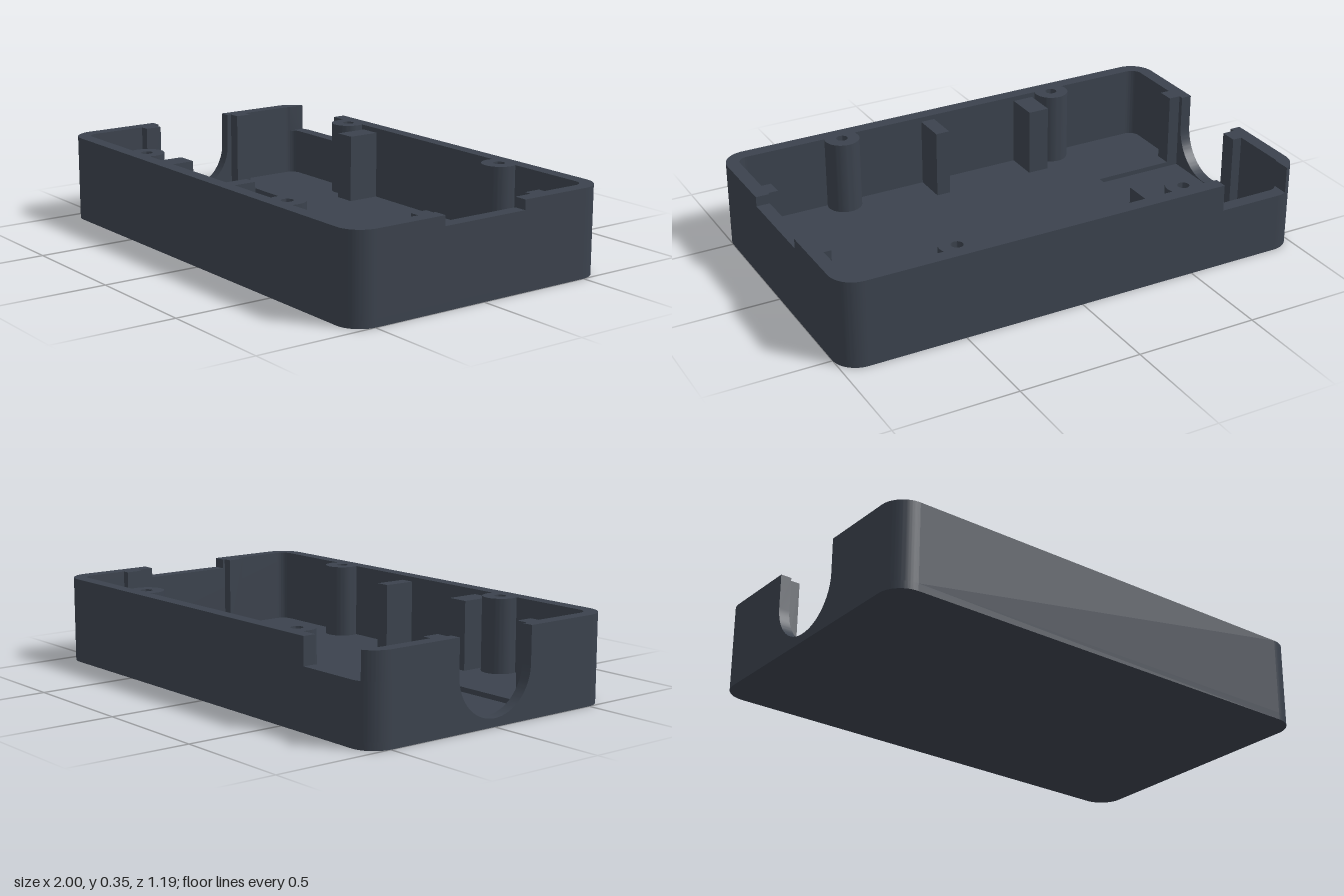
import * as THREE from 'three';
import { toCreasedNormals } from 'three/addons/utils/BufferGeometryUtils.js';

const W = 1, D = 0.595, H = 0.355;      // half width, half depth, height
const R = 0.1, T = 0.055;               // corner radius, wall thickness
const BASE = 0.03, FLOOR = 0.05;        // pocket level, floor level
const CX = W - R, CZ = D - R;           // corner centres
const IX = W - T, IZ = D - T;           // inner wall faces

export function createModel() {
  const group = new THREE.Group();
  const plastic = new THREE.MeshStandardMaterial({ color: 0x3b424d });
  plastic.name = 'slate plastic';

  const add = (name, geometry) => {
    const mesh = new THREE.Mesh(geometry, plastic);
    mesh.name = name;
    group.add(mesh);
    return mesh;
  };
  const box = (name, x0, x1, y0, y1, z0, z1) =>
    add(name, new THREE.BoxGeometry(x1 - x0, y1 - y0, z1 - z0)
      .translate((x0 + x1) / 2, (y0 + y1) / 2, (z0 + z1) / 2));
  // Plan shape (x, z) raised from y0 to y1
  const slab = (name, shape, y0, y1) => {
    const geo = new THREE.ExtrudeGeometry(shape, { depth: y1 - y0, bevelEnabled: false, curveSegments: 16 });
    return add(name, toCreasedNormals(geo.rotateX(Math.PI / 2).translate(0, y1, 0), 0.6));
  };

  // Base plate with rounded corners
  const plan = new THREE.Shape();
  plan.absarc(CX, CZ, R, 0, Math.PI / 2);
  plan.absarc(-CX, CZ, R, Math.PI / 2, Math.PI);
  plan.absarc(-CX, -CZ, R, Math.PI, Math.PI * 1.5);
  plan.absarc(CX, -CZ, R, Math.PI * 1.5, Math.PI * 2);
  plan.closePath();
  slab('basePlate', plan, 0, BASE);

  // Raised floor around the shallow pocket
  const P = 0.2, PX = -0.56;
  box('floor', PX, IX, BASE, FLOOR, -IZ, IZ);
  for (const s of [-1, 1]) {
    box('pocketSideFloor', -IX, PX, BASE, FLOOR, Math.min(s * P, s * IZ), Math.max(s * P, s * IZ));
  }

  // Rounded wall corners; cut trims the corner at a local x
  const corner = (sx, sz, turn, y0, y1, cut = 0) => {
    const shape = new THREE.Shape();
    const outer = Math.acos(cut / R), inner = Math.acos(cut / (R - T));
    shape.absarc(0, 0, R, 0, outer);
    shape.absarc(0, 0, R - T, inner, 0, true);
    shape.closePath();
    const mesh = slab('wallCorner', shape, y0, y1);
    mesh.rotation.y = turn;
    mesh.position.set(sx * CX, 0, sz * CZ);
  };
  const NOTCH = 0.245;
  corner(1, 1, 0, BASE, H);
  corner(1, -1, Math.PI / 2, BASE, H);
  corner(-1, 1, -Math.PI / 2, BASE, H);
  corner(-1, -1, Math.PI, BASE, NOTCH);
  corner(-1, -1, Math.PI, NOTCH, H, 0.04);

  // Front wall, and back wall with its low notch
  box('frontWall', -CX, CX, BASE, H, IZ, D);
  box('backWall', -0.635, CX, BASE, H, -D, -IZ);
  box('backNotchWall', -CX, -0.635, BASE, NOTCH, -D, -IZ);

  // Left wall with a shallow central dip
  box('leftWall', IX, W, BASE, 0.315, -CZ, CZ);
  box('leftWallTop', IX, W, 0.315, H, 0.19, CZ);
  box('leftWallTop', IX, W, 0.315, H, -CZ, -0.19);

  // Right wall with a U-shaped cable opening
  box('rightWall', -W, -IX, BASE, H, P, CZ);
  box('rightWall', -W, -IX, BASE, H, -CZ, -P);
  const u = new THREE.Shape();
  u.moveTo(-P, BASE);
  u.lineTo(P, BASE);
  u.lineTo(P, H);
  u.lineTo(0.18, H);
  u.absarc(0, 0.213, 0.18, 0, Math.PI, true);
  u.lineTo(-0.18, H);
  u.lineTo(-P, H);
  u.closePath();
  const uGeo = new THREE.ExtrudeGeometry(u, { depth: 0.045, bevelEnabled: false, curveSegments: 32 });
  add('cableOpening', toCreasedNormals(uGeo.rotateY(-Math.PI / 2).translate(-W + 0.045, 0, 0), 0.6));

  // Vertical guide ribs on the end walls
  box('guideRib', -IX, -0.905, FLOOR, H, P, 0.27);
  box('guideRib', -IX, -0.905, FLOOR, H, -0.27, -P);
  box('guideRib', 0.905, IX, FLOOR, H, P, 0.27);
  box('guideRib', 0.915, IX, FLOOR, H, -0.335, -0.265);

  // Screw bosses merged into the long walls
  const boss = new THREE.Shape();
  const a = Math.asin(0.025 / 0.072);
  boss.absarc(0, 0, 0.072, a, Math.PI - a, true);
  boss.closePath();
  const hole = new THREE.Path();
  hole.absarc(0, 0, 0.024, 0, Math.PI * 2);
  boss.holes.push(hole);
  for (const x of [-0.495, 0.495]) {
    for (const s of [-1, 1]) {
      const mesh = slab('screwBoss', boss, FLOOR, H);
      mesh.rotation.y = s > 0 ? 0 : Math.PI;
      mesh.position.set(x, 0, s * 0.515);
    }
  }

  // Support blocks against the long walls
  const TOP = 0.335;
  box('supportBlock', -0.415, -0.325, FLOOR, TOP, -IZ, -0.4);
  box('supportBlock', -0.415, -0.325, FLOOR, TOP, 0.4, IZ);
  box('supportRib', 0.06, 0.12, FLOOR, TOP, 0.4, IZ);

  return group;
}
